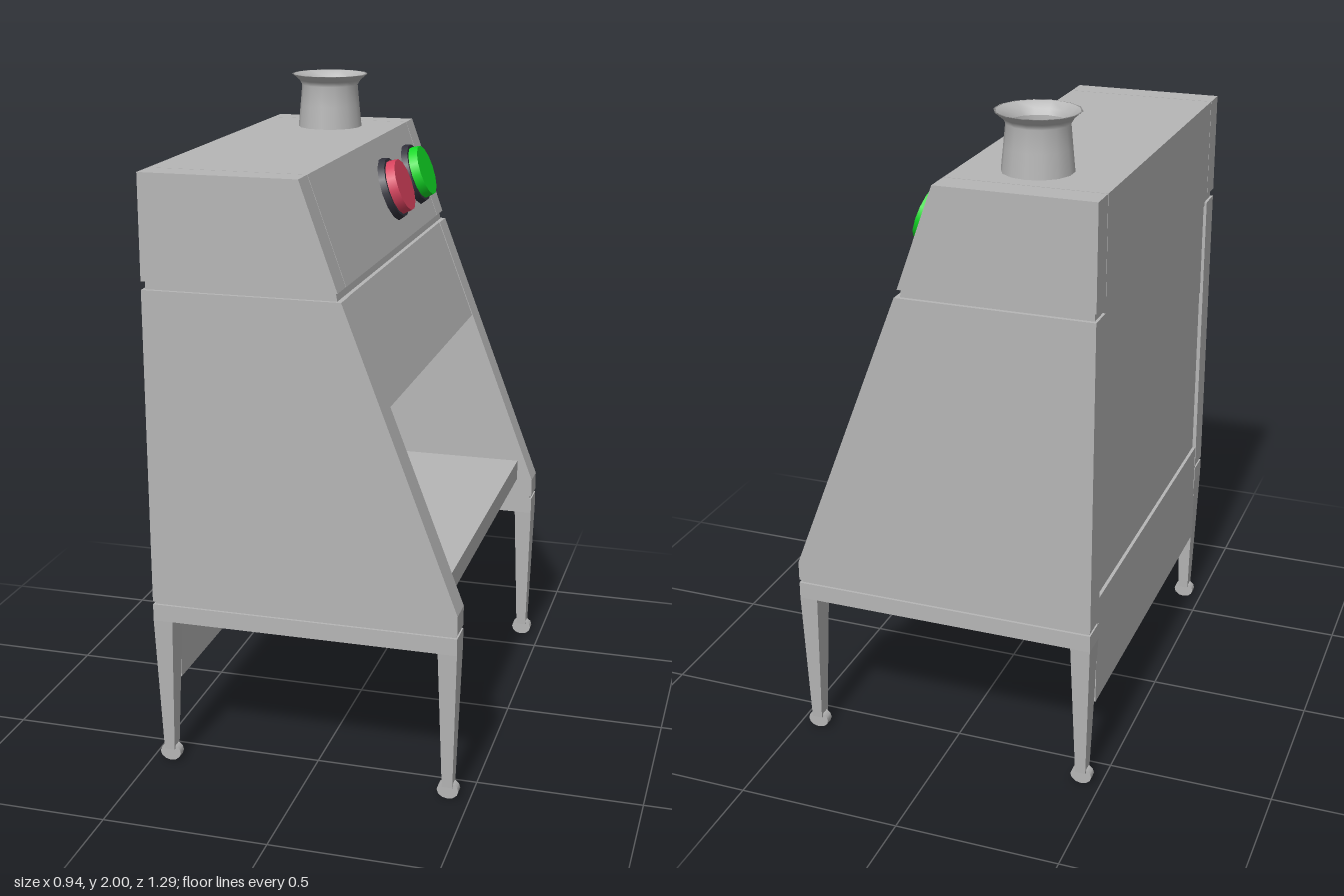
import * as THREE from 'three';

const mat = (name, color, extra = {}) => {
  const m = new THREE.MeshStandardMaterial({ color, ...extra });
  m.name = name;
  return m;
};

export function createModel() {
  const grey = mat('body grey', 0xb6b6b6);
  const greyOpen = mat('body grey', 0xb6b6b6, { side: THREE.DoubleSide });
  const dark = mat('button base charcoal', 0x30303a);
  const red = mat('button red', 0xd6405c);
  const green = mat('button green', 0x10d924);

  const model = new THREE.Group();
  model.name = 'workCabinet';
  const add = (name, geo, material, parent = model) => {
    const mesh = new THREE.Mesh(geo, material);
    mesh.name = name;
    parent.add(mesh);
    return mesh;
  };
  // Side profile in x-y, extruded from z0 to z1
  const slab = (name, pts, z0, z1) => {
    const shape = new THREE.Shape(pts.map(([x, y]) => new THREE.Vector2(x, y)));
    const geo = new THREE.ExtrudeGeometry(shape, { depth: z1 - z0, bevelEnabled: false });
    return add(name, geo.translate(0, 0, z0), grey);
  };
  const box = (name, x0, x1, y0, y1, z0, z1) =>
    add(name, new THREE.BoxGeometry(x1 - x0, y1 - y0, z1 - z0)
      .translate((x0 + x1) / 2, (y0 + y1) / 2, (z0 + z1) / 2), grey);

  const IN = 0.56, OUT = 0.643;

  // Top housing: middle section and two end caps with thin seams
  const housing = [[-0.47, 1.52], [0.11, 1.52], [0, 1.83], [-0.47, 1.83]];
  slab('housingMiddle', housing, -IN + 0.003, IN - 0.003);
  slab('housingCore', [[-0.462, 1.48], [0.108, 1.48], [0.1, 1.53], [-0.008, 1.822], [-0.462, 1.822]],
    -OUT + 0.012, OUT - 0.012);

  // Upper compartment behind the sloped front panel
  slab('upperCompartment', [[-0.46, 1.18], [0.238, 1.18], [0.118, 1.495], [-0.46, 1.495]], -IN, IN);
  box('backWall', -0.458, -0.44, 0.6, 1.19, -IN, IN);
  box('table', -0.458, 0.41, 0.6, 0.667, -IN, IN);
  box('lowerBackPanel', -0.468, -0.415, 0.265, 0.61, -IN - 0.01, IN + 0.01);

  for (const s of [-1, 1]) {
    const side = s > 0 ? 'left' : 'right';
    const z0 = s > 0 ? IN : -OUT, z1 = s > 0 ? OUT : -IN;
    slab(side + 'HousingCap', housing, z0, z1);
    // Side wall with sloped front edge
    slab(side + 'Wall', [[-0.47, 0.54], [0.462, 0.54], [0.462, 0.6], [0.12, 1.495], [-0.47, 1.495]], z0, z1);
    // Leg frame below a narrow seam
    box(side + 'FrameSeam', -0.464, 0.456, 0.52, 0.55, z0 + (s < 0 ? 0.008 : 0), z1 - (s > 0 ? 0.008 : 0));
    box(side + 'FrameRail', -0.47, 0.462, 0.478, 0.53, z0, z1);

    // Tapered legs and small round feet
    for (const [end, xa, xb, fx] of [['back', -0.47, -0.41, -0.441], ['front', 0.405, 0.462, 0.435]]) {
      const geo = new THREE.BoxGeometry(1, 1, 1);
      const p = geo.attributes.position;
      for (let i = 0; i < p.count; i++) {
        const top = p.getY(i) > 0;
        const u = p.getX(i) + 0.5, w = p.getZ(i) + 0.5;
        const x = top ? xa + (xb - xa) * u : fx + (u - 0.5) * 0.032;
        const z = top ? z0 + (z1 - z0) * w : s * 0.603 + (w - 0.5) * 0.042;
        p.setXYZ(i, x, top ? 0.48 : 0.04, z);
      }
      geo.computeVertexNormals();
      add(side + end + 'Leg', geo, grey);
      const foot = new THREE.CylinderGeometry(0.033, 0.033, 0.028, 12).rotateX(Math.PI / 2);
      foot.scale(1, 0.82, 1).translate(fx, 0.027, s * 0.603);
      add(side + end + 'Foot', foot, grey);
    }
  }

  // Exhaust chimney with flared rim
  const chimney = [[0.104, 1.828], [0.097, 1.9], [0.091, 1.965], [0.1, 1.98], [0.124, 2.0], [0.118, 2.0], [0.094, 1.982], [0.086, 1.965]];
  add('chimney', new THREE.LatheGeometry(chimney.map(([r, y]) => new THREE.Vector2(r, y)), 14)
    .translate(-0.22, 0, -0.405), greyOpen);

  // Push buttons, axis along the slope normal
  for (const [name, z, m] of [['stopButton', -0.145, red], ['startButton', -0.44, green]]) {
    const button = new THREE.Group();
    button.name = name;
    button.position.set(0.055, 1.675, z);
    button.rotation.z = -Math.atan2(0.31, 0.11);
    add(name + 'Base', new THREE.CylinderGeometry(0.096, 0.102, 0.02, 14).translate(0, 0.01, 0), dark, button);
    add(name + 'Cap', new THREE.CylinderGeometry(0.083, 0.087, 0.03, 14).translate(0, 0.034, 0), m, button);
    model.add(button);
  }
  return model;
}
